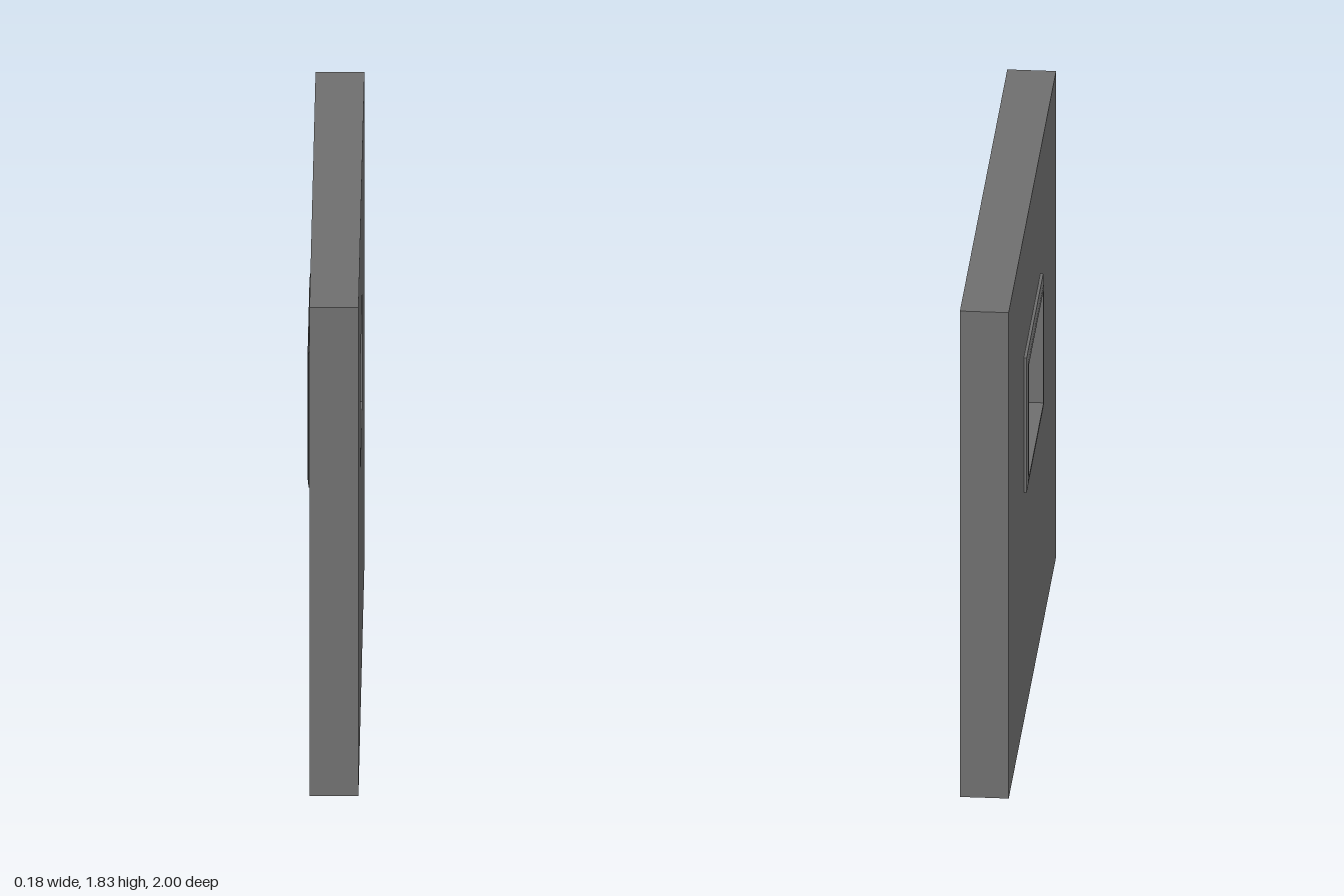
import * as THREE from 'three';

const material = new THREE.MeshStandardMaterial({ color: 0x707070, flatShading: true, side: THREE.DoubleSide });

// Window opening and wall extents
const OPENING = { z0: -0.315, z1: 0.302, y0: 0.9, y1: 1.325 };
const WALL = { left: 0.091, right: -0.077, height: 1.833 };

// Corners of a rectangle, as [z, y]
const corners = ({ z0, z1, y0, y1 }) => [[z0, y0], [z1, y0], [z1, y1], [z0, y1]];
const inset = (r, d) => ({ z0: r.z0 + d, z1: r.z1 - d, y0: r.y0 + d, y1: r.y1 - d });
const toPoints = (rect) => corners(rect).map(([z, y]) => new THREE.Vector2(z, y));

// Slab with a rectangular hole, extruded through its thickness
function createWall() {
  const shape = new THREE.Shape(toPoints({ z0: -1, z1: 1, y0: 0, y1: WALL.height }));
  shape.holes.push(new THREE.Path(toPoints(OPENING).reverse()));
  const geometry = new THREE.ExtrudeGeometry(shape, { depth: WALL.left - WALL.right, bevelEnabled: false });
  geometry.rotateY(-Math.PI / 2).translate(WALL.left, 0, 0);
  const wall = new THREE.Mesh(geometry, material);
  wall.name = 'wall';
  return wall;
}

// Raised surround: square outer edge, shallow slope, flat face, then the reveal
function createWindowTrim() {
  const outer = { z0: -0.362, z1: 0.335, y0: 0.864, y1: 1.372 };
  const face = -0.091;
  const loops = [
    [outer, WALL.right],
    [outer, -0.087],
    [inset(outer, 0.025), face],
    [OPENING, face],
    [OPENING, WALL.right],
  ].map(([rect, x]) => corners(rect).map(([z, y]) => [x, y, z]));

  const positions = [];
  for (let k = 0; k < loops.length - 1; k++) {
    for (let i = 0; i < 4; i++) {
      const j = (i + 1) % 4;
      const a = loops[k][i], b = loops[k][j], c = loops[k + 1][j], d = loops[k + 1][i];
      positions.push(...a, ...b, ...c, ...a, ...c, ...d);
    }
  }
  const geometry = new THREE.BufferGeometry();
  geometry.setAttribute('position', new THREE.Float32BufferAttribute(positions, 3));
  geometry.computeVertexNormals();
  const trim = new THREE.Mesh(geometry, material);
  trim.name = 'windowTrim';
  return trim;
}

export function createModel() {
  const group = new THREE.Group();
  group.name = 'wallWithWindow';
  group.add(createWall(), createWindowTrim());
  return group;
}
